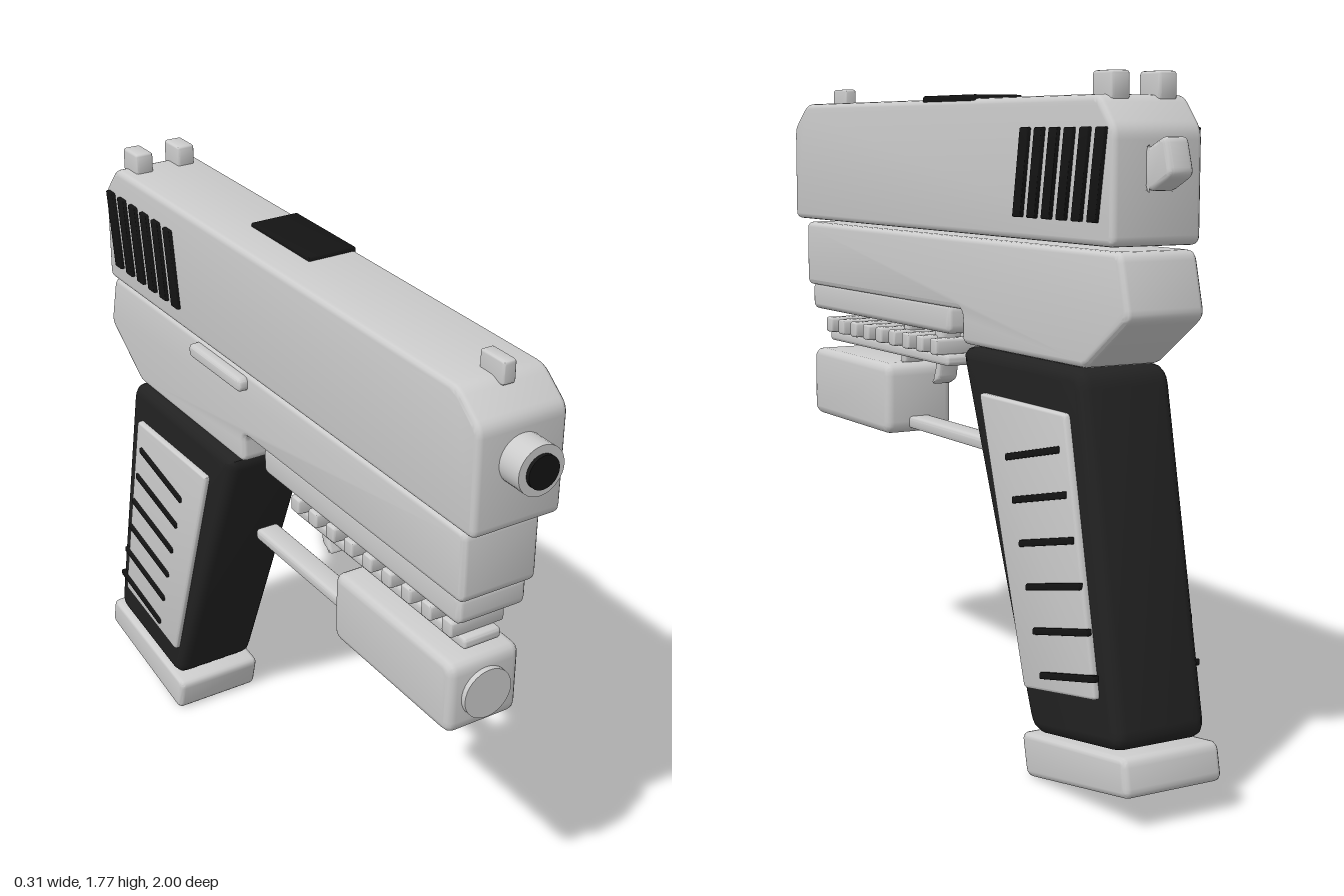
import * as THREE from 'three';
import { toCreasedNormals } from 'three/addons/utils/BufferGeometryUtils.js';

const grey = new THREE.MeshStandardMaterial({ color: 0xcccccc });
grey.name = 'light grey';
const black = new THREE.MeshStandardMaterial({ color: 0x222222 });
black.name = 'grip black';
const dark = new THREE.MeshStandardMaterial({ color: 0x141414 });
dark.name = 'detail black';

// Closed outline of [z, y] points with softened corners
function outline(points, r) {
  const shape = new THREE.Shape();
  const v = points.map(p => new THREE.Vector2(...p));
  v.forEach((p, i) => {
    const prev = v[(i + v.length - 1) % v.length], next = v[(i + 1) % v.length];
    const a = prev.clone().sub(p).setLength(r).add(p);
    const b = next.clone().sub(p).setLength(r).add(p);
    if (i === 0) shape.moveTo(a.x, a.y); else shape.lineTo(a.x, a.y);
    shape.quadraticCurveTo(p.x, p.y, b.x, b.y);
  });
  shape.closePath();
  return shape;
}

// Side profile swept across x, from x0 to x1, with rounded edges
function slab(name, points, x0, x1, material, bevel = 0.015) {
  let g = new THREE.ExtrudeGeometry(outline(points, bevel * 1.6), {
    depth: x1 - x0 - 2 * bevel, curveSegments: 4,
    bevelEnabled: true, bevelThickness: bevel, bevelSize: bevel,
    bevelOffset: -bevel, bevelSegments: 3,
  });
  g.translate(0, 0, -(x1 - x0) / 2 + bevel);
  g.rotateY(-Math.PI / 2);
  g.translate((x0 + x1) / 2, 0, 0);
  g = toCreasedNormals(g, 0.6);
  const mesh = new THREE.Mesh(g, material);
  mesh.name = name;
  return mesh;
}

const rect = (z0, z1, y0, y1) => [[z0, y0], [z1, y0], [z1, y1], [z0, y1]];

// Cylinder along z
function barrel(name, r, z0, z1, y, material) {
  const g = new THREE.CylinderGeometry(r, r, z1 - z0, 32);
  g.rotateX(Math.PI / 2);
  const mesh = new THREE.Mesh(g, material);
  mesh.position.set(0, y, (z0 + z1) / 2);
  mesh.name = name;
  return mesh;
}

export function createModel() {
  const model = new THREE.Group();
  model.name = 'pistol';
  const add = (...parts) => model.add(...parts);

  // Slide, frame and dust cover
  add(
    slab('slide', [[0.92, 1.37], [0.92, 1.65], [0.83, 1.72], [-0.82, 1.72], [-0.89, 1.64], [-0.89, 1.37]],
      -0.125, 0.125, grey),
    slab('frame', [[0.87, 1.36], [0.87, 1.165], [-0.14, 1.165], [-0.14, 1.075], [-0.75, 1.075],
      [-0.935, 1.205], [-0.895, 1.36]], -0.11, 0.11, grey),
    slab('dustCover', rect(-0.05, 0.85, 1.09, 1.175), -0.1, 0.1, grey),
    slab('ejectionPort', rect(-0.235, 0.055, 1.71, 1.73), -0.02, 0.122, dark, 0.004),
    slab('slideLever', rect(-0.39, -0.11, 1.31, 1.35), -0.137, -0.1, grey, 0.01),
  );

  // Muzzle and bore
  add(
    barrel('muzzle', 0.064, 0.88, 0.99, 1.55, grey),
    barrel('bore', 0.043, 0.97, 1.0, 1.55, dark),
  );

  // Sights
  add(slab('frontSight', rect(0.77, 0.86, 1.705, 1.765), -0.018, 0.018, grey, 0.006));
  for (const x of [-0.066, 0.066]) {
    add(slab('rearSight', rect(-0.83, -0.745, 1.705, 1.775), x - 0.026, x + 0.026, grey, 0.007));
  }

  // Hammer
  add(slab('hammer', [[-0.87, 1.51], [-0.87, 1.59], [-0.905, 1.605], [-0.96, 1.628], [-0.988, 1.535],
    [-0.905, 1.495]], -0.034, 0.034, grey, 0.012));

  // Rear slide serrations on both sides
  for (let i = 0; i < 6; i++) {
    const z = -0.468 - i * 0.0685;
    for (const s of [-1, 1]) {
      const pts = [[z + 0.018, 1.425], [z - 0.02, 1.425], [z - 0.056, 1.645], [z - 0.018, 1.645]];
      add(slab('serration', pts, s * 0.127 - 0.009, s * 0.127 + 0.009, dark, 0.003));
    }
  }

  // Grip and magazine base
  add(
    slab('grip', [[-0.165, 1.075], [-0.765, 1.075], [-0.95, 0.185], [-0.545, 0.12]], -0.13, 0.13, black, 0.03),
    slab('magazineBase', [[-0.508, 0.115], [-0.98, 0.185], [-1.0, 0.09], [-0.535, 0.003]], -0.138, 0.138, grey),
  );

  // Grip panels with slanted grooves
  for (const s of [-1, 1]) {
    add(slab('gripPanel', [[-0.3, 0.965], [-0.72, 0.965], [-0.865, 0.295], [-0.535, 0.238]],
      s * 0.132 - 0.014, s * 0.132 + 0.014, grey, 0.008));
    for (let i = 0; i < 6; i++) {
      const z = -0.45 - i * 0.035, y = 0.82 - i * 0.105;
      const pts = [[z, y - 0.009], [z - 0.25, y + 0.047], [z - 0.25, y + 0.065], [z, y + 0.009]];
      add(slab('gripGroove', pts, s * 0.146 - 0.008, s * 0.146 + 0.008, dark, 0.003));
    }
  }

  // Accessory rail with teeth
  add(slab('railBar', rect(0.04, 0.82, 0.99, 1.022), -0.055, 0.055, grey, 0.008));
  for (let i = 0; i < 9; i++) {
    const z = 0.08 + i * 0.087;
    add(slab('railTooth', rect(z - 0.021, z + 0.021, 1.02, 1.066), -0.08, 0.08, grey, 0.006));
  }

  // Trigger and rail bracket
  add(
    slab('trigger', [[0.17, 1.1], [0.115, 1.1], [0.115, 1.06], [0.14, 0.94], [0.185, 0.92], [0.16, 0.98]],
      -0.03, 0.03, grey, 0.008),
    slab('railBracket', [[0.385, 0.96], [0.35, 0.96], [0.315, 1.1], [0.355, 1.1]], -0.03, 0.03, grey, 0.008),
  );

  // Under-barrel lamp with lens and rear rod
  add(
    slab('lampBody', rect(0.315, 0.838, 0.762, 0.968), -0.105, 0.105, grey, 0.022),
    barrel('lampLens', 0.07, 0.82, 0.853, 0.865, grey),
    slab('lampRod', rect(-0.21, 0.33, 0.777, 0.812), -0.035, 0.035, grey, 0.01),
  );

  return model;
}
